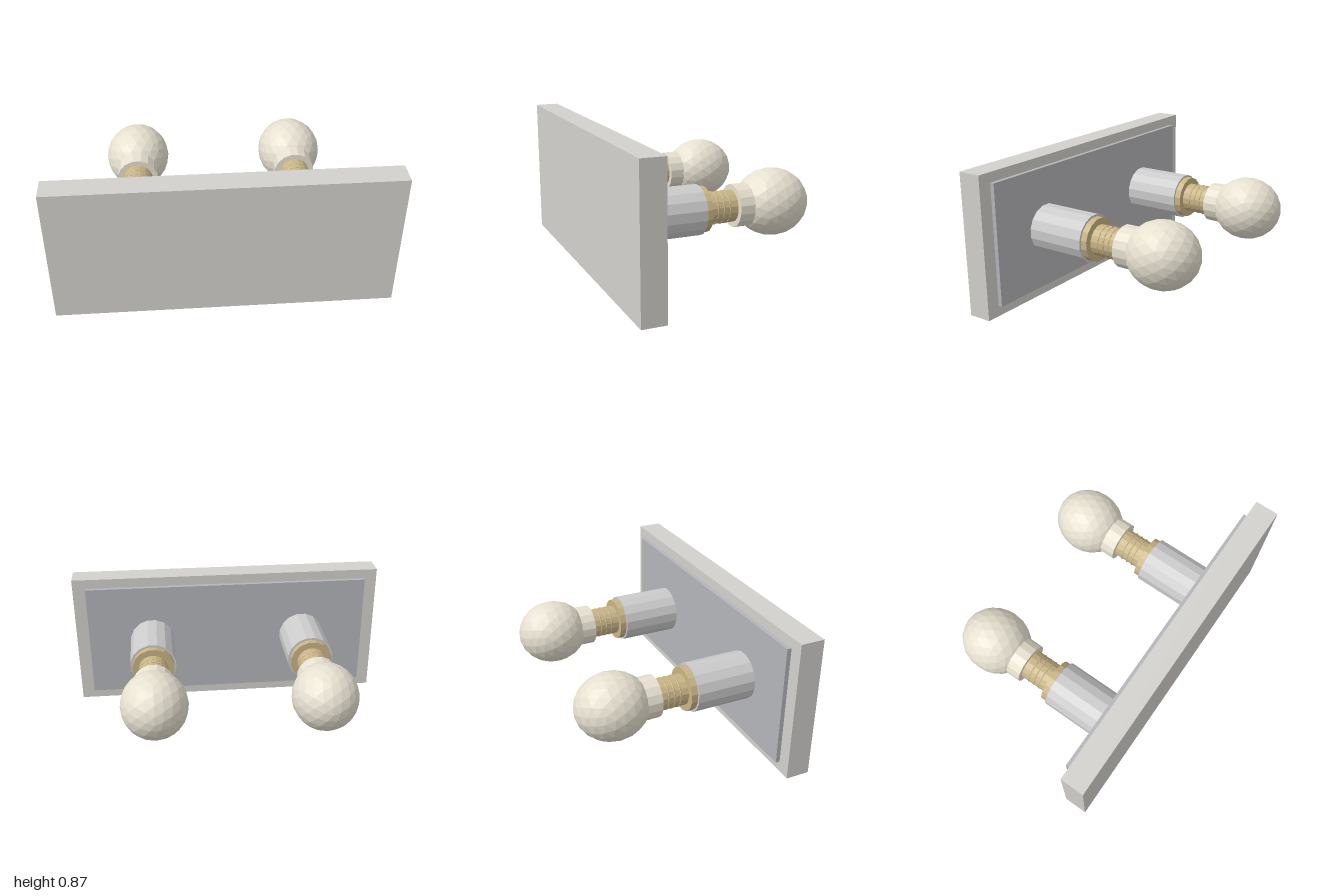
import * as THREE from 'three';

const MID_Y = 0.434; // height of the lamp axis
const SIDES = 16;

const material = (color) => new THREE.MeshStandardMaterial({ color, flatShading: true });

function addMesh(parent, name, geometry, mat) {
  const mesh = new THREE.Mesh(geometry, mat);
  mesh.name = name;
  parent.add(mesh);
  return mesh;
}

// Faceted cylinder along z, with flats facing the axes; radius is measured to the flats
function barrel(radius, zFront, zBack) {
  const r = radius / Math.cos(Math.PI / SIDES);
  return new THREE.CylinderGeometry(r, r, zFront - zBack, SIDES)
    .rotateY(Math.PI / SIDES)
    .rotateX(Math.PI / 2)
    .translate(0, 0, (zFront + zBack) / 2);
}

export function createModel() {
  const model = new THREE.Group();
  model.name = 'twinLampFixture';

  const plateMat = material(0xd3d1cd);
  const panelMat = material(0xb4b5ba);
  const metalMat = material(0xcccccc);
  const brassMat = material(0xc8b486);
  const bulbMat = material(0xe6e0d0);

  // Front plate and the thinner panel behind it
  addMesh(model, 'frontPlate', new THREE.BoxGeometry(2, 0.868, 0.145), plateMat)
    .position.set(0, MID_Y, 0.5435);
  addMesh(model, 'backPanel', new THREE.BoxGeometry(1.834, 0.743, 0.028), panelMat)
    .position.set(0, MID_Y + 0.002, 0.459);

  for (const side of [-1, 1]) {
    const lamp = new THREE.Group();
    lamp.name = side > 0 ? 'leftLamp' : 'rightLamp';
    lamp.position.set(side * 0.5, MID_Y, 0);
    model.add(lamp);

    // Holder, flange and threaded socket
    addMesh(lamp, 'holder', barrel(0.143, 0.446, 0.078), metalMat);
    addMesh(lamp, 'flange', barrel(0.13, 0.078, 0.039), brassMat);
    addMesh(lamp, 'socket', barrel(0.091, 0.039, -0.136), brassMat);
    for (const z of [-0.011, -0.048, -0.085]) {
      addMesh(lamp, 'threadRing', new THREE.TorusGeometry(0.092, 0.005, 6, SIDES), brassMat)
        .position.z = z;
    }

    // Bulb neck and slightly elongated globe
    addMesh(lamp, 'bulbNeck', barrel(0.123, -0.136, -0.25), bulbMat);
    const globe = new THREE.IcosahedronGeometry(1, 3)
      .rotateX(Math.atan(2 / (1 + Math.sqrt(5))))
      .scale(0.199, 0.199, 0.22);
    addMesh(lamp, 'bulbGlobe', globe, bulbMat).position.z = -0.396;
  }
  return model;
}
